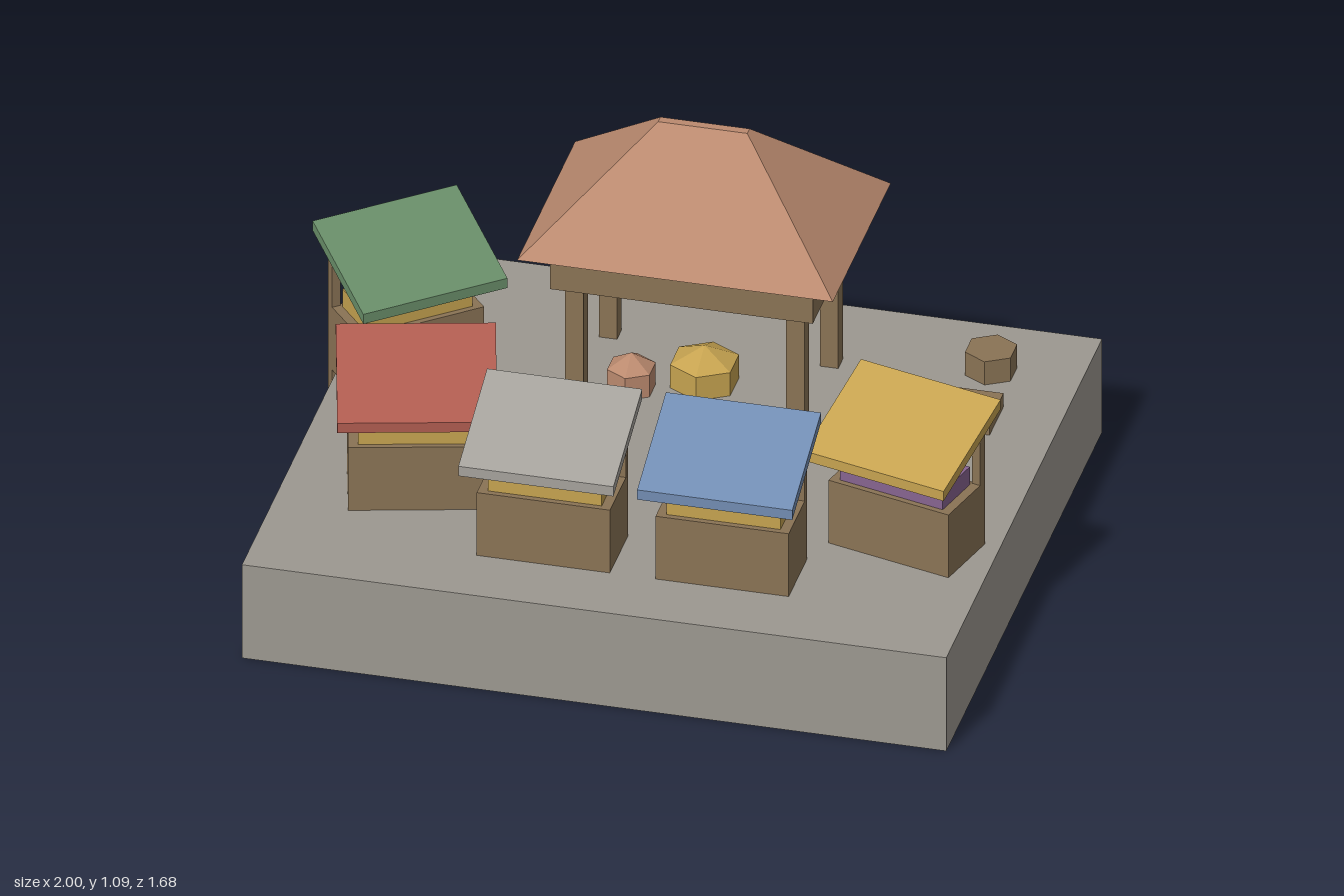
import * as THREE from 'three';

const mat = (name, color) => {
  const m = new THREE.MeshStandardMaterial({ color });
  m.name = name;
  return m;
};

export function createModel() {
  const stone = mat('stone', 0x9c9890);
  const wood = mat('wood', 0x8a7355);
  const clay = mat('clay', 0xbb8a6f);
  const yellow = mat('yellow', 0xc6a350);
  const red = mat('red', 0xb05c50);
  const green = mat('green', 0x698e69);
  const blue = mat('blue', 0x728db3);
  const grey = mat('grey', 0xa5a29c);
  const purple = mat('purple', 0x876490);

  const model = new THREE.Group();
  model.name = 'marketSquare';
  const ground = 0.29;

  const add = (parent, name, geo, material) => {
    const mesh = new THREE.Mesh(geo, material);
    mesh.name = name;
    parent.add(mesh);
    return mesh;
  };
  // Box given by centre x and z, bottom, and size
  const box = (parent, name, material, x, y, z, w, h, d) =>
    add(parent, name, new THREE.BoxGeometry(w, h, d).translate(x, y + h / 2, z), material);
  // Hexagonal solid standing at the given height
  const hex = (parent, name, material, x, y, z, rTop, r, h) =>
    add(parent, name, new THREE.CylinderGeometry(rTop, r, h, 6).toNonIndexed().translate(x, y + h / 2, z), material)
      .geometry.computeVertexNormals();

  // Paved platform
  box(model, 'platform', stone, 0.035, 0, 0, 1.93, ground, 1.68);

  // Open hall: posts, beam and hipped roof
  const hall = new THREE.Group();
  hall.name = 'hall';
  hall.position.set(0.03, 0, -0.364);
  model.add(hall);
  for (const sx of [-1, 1])
    for (const sz of [-1, 1])
      box(hall, 'hallPost', wood, sx * 0.303, ground, sz * 0.182, 0.05, 0.38, 0.05);
  box(hall, 'hallBeam', wood, 0, 0.67, 0, 0.72, 0.12, 0.486);
  const roof = new THREE.BoxGeometry(0.865, 0.3, 0.625).toNonIndexed();
  const p = roof.attributes.position;
  for (let i = 0; i < p.count; i++)
    if (p.getY(i) > 0) {
      p.setX(i, Math.sign(p.getX(i)) * 0.122);
      p.setZ(i, Math.sign(p.getZ(i)) * 0.0125);
    }
  roof.translate(0, 0.94, 0).computeVertexNormals();
  add(hall, 'hallRoof', roof, clay);

  // Pointed hexagonal kiosks in and by the hall
  for (const [x, z, r, eave, top, m] of [
    [0.032, -0.363, 0.095, 0.362, 0.407, yellow],
    [-0.15, -0.29, 0.067, 0.358, 0.4, clay],
  ]) {
    hex(model, 'kioskBody', m, x, ground, z, r, r, eave - ground);
    hex(model, 'kioskTop', m, x, eave, z, 0, r, top - eave);
  }

  // Market stalls: counter, goods, rear posts and sloping awning
  const awningGeo = new THREE.BoxGeometry(0.425, 0.03, 0.31).toNonIndexed();
  const a = awningGeo.attributes.position;
  for (let i = 0; i < a.count; i++) a.setY(i, a.getY(i) + 0.655 - a.getZ(i) * 0.39);
  awningGeo.computeVertexNormals();
  for (const [x, z, degrees, cloth, goods] of [
    [-0.74, -0.225, 40, green, yellow],
    [-0.568, 0.382, 15, red, yellow],
    [-0.155, 0.565, 0, grey, yellow],
    [0.335, 0.565, 0, blue, yellow],
    [0.748, 0.323, -15, yellow, purple],
  ]) {
    const stall = new THREE.Group();
    stall.name = 'stall';
    stall.position.set(x, 0, z);
    stall.rotation.y = THREE.MathUtils.degToRad(degrees);
    box(stall, 'counter', wood, 0, ground, -0.015, 0.365, 0.195, 0.18);
    box(stall, 'goods', goods, 0, 0.485, -0.015, 0.312, 0.055, 0.148);
    for (const s of [-1, 1])
      box(stall, 'stallPost', wood, s * 0.17, 0.19, -0.11, 0.025, 0.5, 0.025);
    add(stall, 'awning', awningGeo, cloth);
    model.add(stall);
  }

  // Loose crate and barrel
  box(model, 'crate', wood, 0.755, ground, -0.365, 0.153, 0.042, 0.15);
  hex(model, 'barrel', wood, 0.755, ground, -0.607, 0.072, 0.072, 0.072);

  return model;
}
